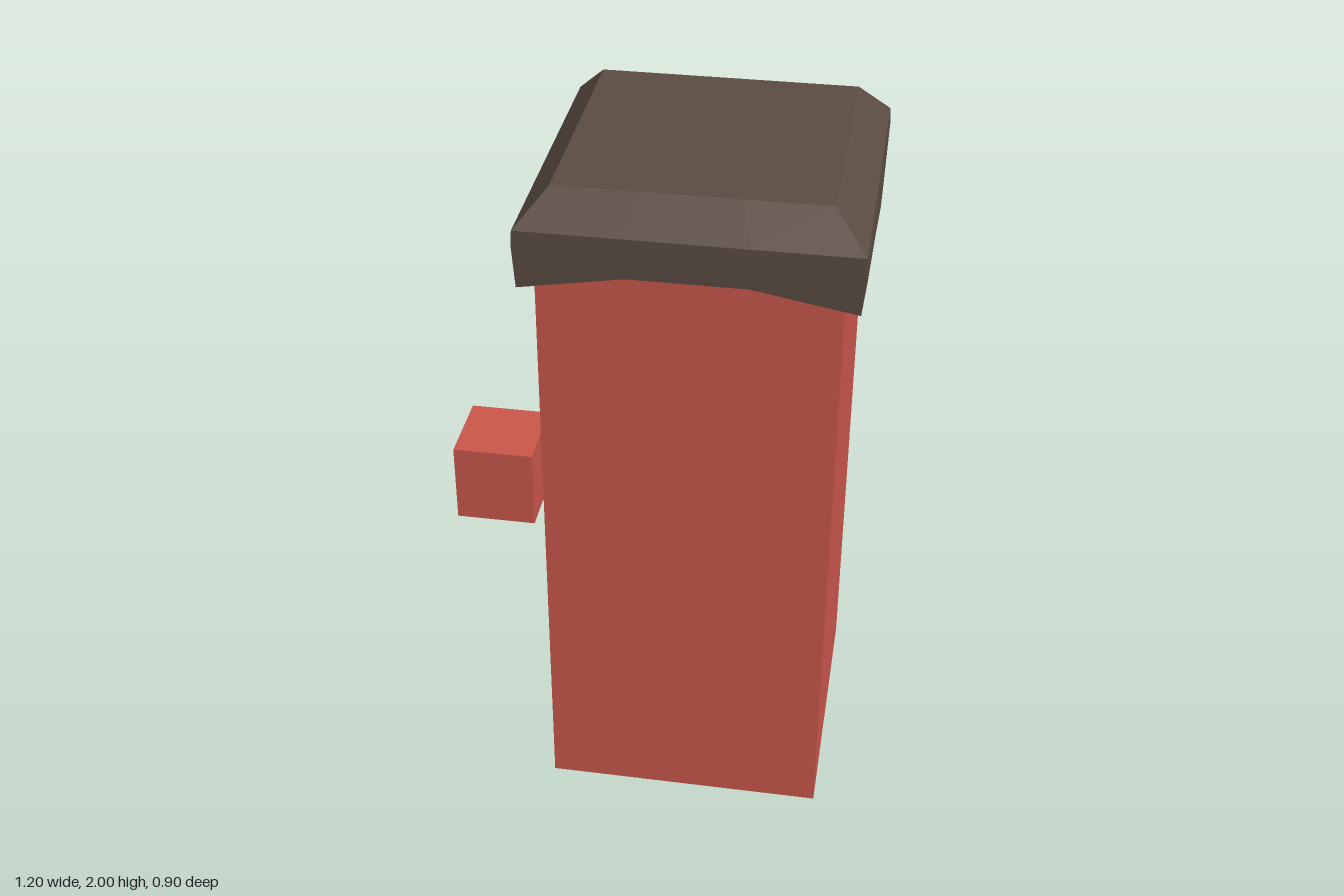
import * as THREE from 'three';

const red = new THREE.MeshStandardMaterial({ color: 0xca574b, flatShading: true });
red.name = 'brick red';
const brown = new THREE.MeshStandardMaterial({ color: 0x5b4c42, flatShading: true });
brown.name = 'dark brown';

// Box given by its extents on each axis
function box(name, x0, x1, y0, y1, z0, z1) {
  const geo = new THREE.BoxGeometry(x1 - x0, y1 - y0, z1 - z0);
  geo.translate((x0 + x1) / 2, (y0 + y1) / 2, (z0 + z1) / 2);
  const mesh = new THREE.Mesh(geo, red);
  mesh.name = name;
  return mesh;
}

// Rectangular ring of 12 points, three per side, starting at the -x +z corner
function ring(x0, x1, z0, z1, heights) {
  const corners = [[x0, z1], [x1, z1], [x1, z0], [x0, z0]];
  const steps = [0, 0.32, 0.68];
  return Array.from({ length: 12 }, (_, i) => {
    const a = corners[Math.floor(i / 3)];
    const b = corners[(Math.floor(i / 3) + 1) % 4];
    const t = steps[i % 3];
    const y = Array.isArray(heights) ? heights[i] : heights;
    return [a[0] + (b[0] - a[0]) * t, y, a[1] + (b[1] - a[1]) * t];
  });
}

// Flat faceted skin over rings listed from the underside up to the top
function skin(rings) {
  const pos = [];
  for (let r = 0; r < rings.length - 1; r++) {
    for (let i = 0; i < 12; i++) {
      const j = (i + 1) % 12;
      const [a, b, c, d] = [rings[r][i], rings[r][j], rings[r + 1][j], rings[r + 1][i]];
      pos.push(...a, ...b, ...c, ...a, ...c, ...d);
    }
  }
  const top = rings[rings.length - 1];
  for (let i = 1; i < 11; i++) pos.push(...top[0], ...top[i], ...top[i + 1]);
  const geo = new THREE.BufferGeometry();
  geo.setAttribute('position', new THREE.Float32BufferAttribute(pos, 3));
  geo.computeVertexNormals();
  return geo;
}

export function createModel() {
  const model = new THREE.Group();
  model.name = 'pillarWithCap';

  model.add(box('body', -0.26, 0.545, 0, 1.78, -0.395, 0.41));
  model.add(box('sideBlock', -0.6, -0.362, 0.725, 0.97, -0.12, 0.12));

  // Cap with a wavy lower rim: front arched, sides falling, back sagging
  const rim = [
    1.74, 1.79, 1.79,
    1.74, 1.68, 1.645,
    1.59, 1.545, 1.545,
    1.59, 1.66, 1.73,
  ];
  const shoulder = ring(-0.308, 0.597, -0.45, 0.453, 1.865);
  shoulder[11][0] = -0.317; // slight bulge on the -x side
  const cap = new THREE.Mesh(skin([
    ring(-0.25, 0.535, -0.385, 0.4, rim),
    ring(-0.3, 0.588, -0.44, 0.45, rim),
    shoulder,
    ring(-0.305, 0.594, -0.44, 0.452, 1.905),
    ring(-0.22, 0.505, -0.358, 0.37, 2),
  ]), brown);
  cap.name = 'cap';
  model.add(cap);

  return model;
}
